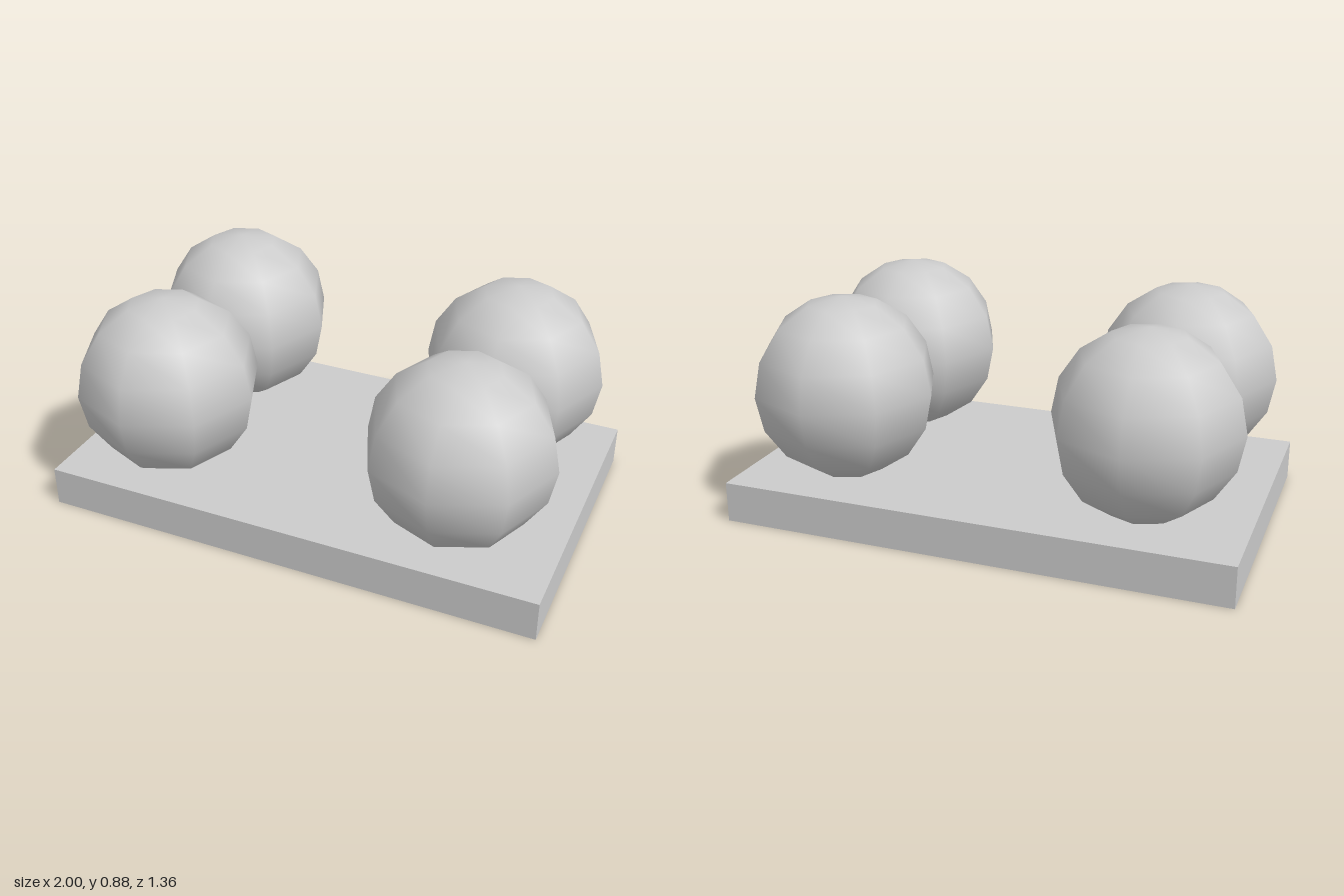
import * as THREE from 'three';

export function createModel() {
  const model = new THREE.Group();
  model.name = 'ballsOnSlab';

  const grey = new THREE.MeshStandardMaterial({ color: 0xcccccc });
  grey.name = 'light grey';

  // Flat base slab
  const slabHeight = 0.16;
  const slab = new THREE.Mesh(new THREE.BoxGeometry(2, slabHeight, 1.2), grey);
  slab.name = 'slab';
  slab.position.y = slabHeight / 2;
  model.add(slab);

  // Four low-poly, smooth-shaded balls resting on the slab; each pair overlaps slightly
  const radius = 0.36;
  const ballGeometry = new THREE.SphereGeometry(radius, 8, 8);
  for (const [side, x] of [['left', 0.6], ['right', -0.6]]) {
    for (const [end, z] of [['Front', 0.32], ['Back', -0.32]]) {
      const ball = new THREE.Mesh(ballGeometry, grey);
      ball.name = `${side}${end}Ball`;
      ball.position.set(x, slabHeight + radius, z);
      model.add(ball);
    }
  }

  return model;
}
